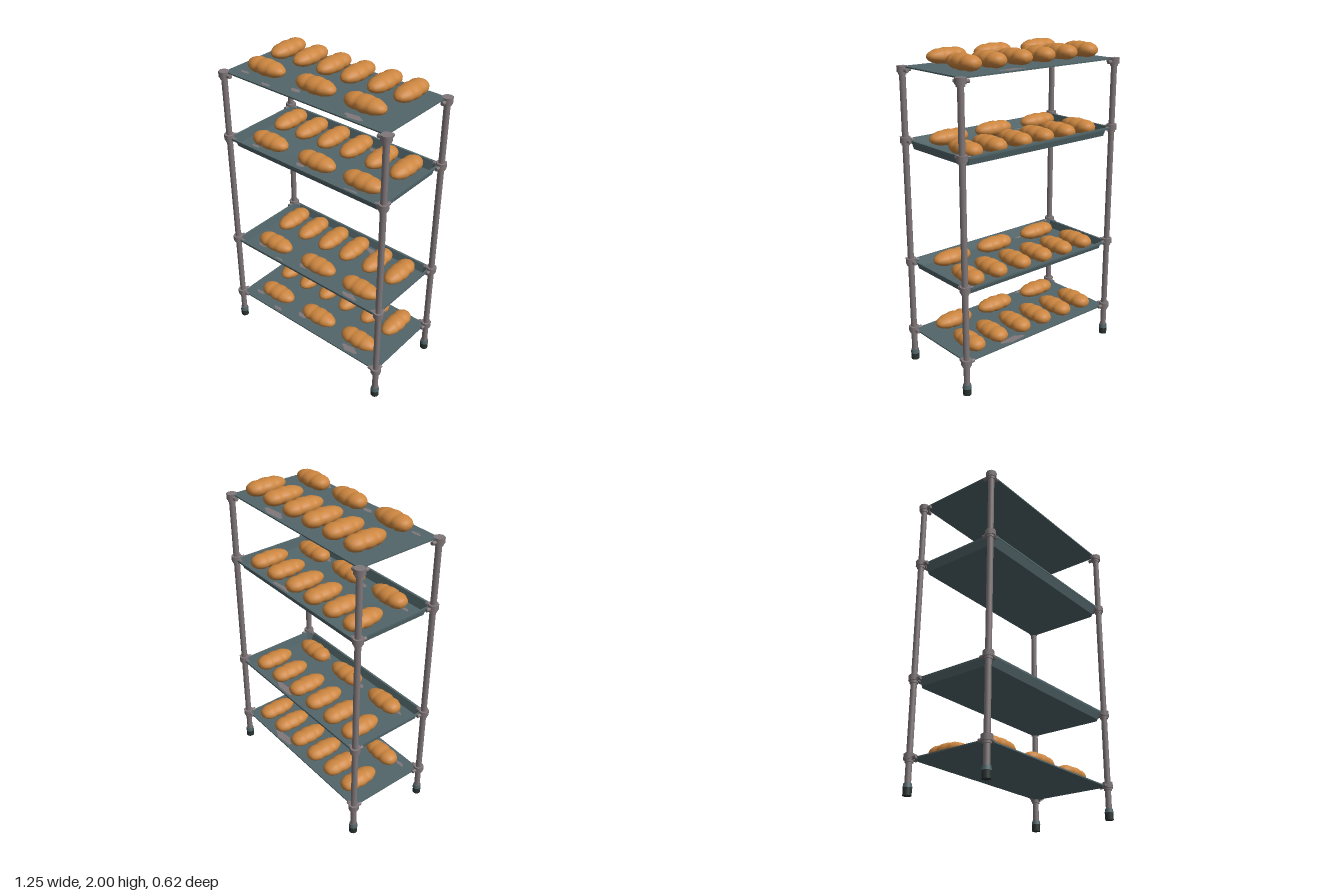
import * as THREE from 'three';

const mat = (name, color, side = THREE.FrontSide, flatShading = false) => {
  const m = new THREE.MeshStandardMaterial({ color, side, flatShading });
  m.name = name;
  return m;
};

export function createModel() {
  const paint = mat('slate paint', 0x52666a, THREE.DoubleSide);
  const steel = mat('bare steel', 0x807779);
  const rubber = mat('dark rubber', 0x2a3432);
  const crust = mat('bread crust', 0xcc8640);
  const wear = mat('worn steel', 0x807779, THREE.DoubleSide);

  const root = new THREE.Group();
  root.name = 'breadRack';
  const add = (parent, name, geo, material, x = 0, y = 0, z = 0) => {
    const m = new THREE.Mesh(geo, material);
    m.name = name;
    m.position.set(x, y, z);
    parent.add(m);
    return m;
  };

  const PX = 0.594, PZ = 0.279;
  const joints = [0.217, 0.69, 1.465, 1.883];

  // Corner posts with collars, short rail stubs and feet
  const postGeo = new THREE.CylinderGeometry(0.019, 0.019, 1.83, 12);
  const collarGeo = new THREE.CylinderGeometry(0.033, 0.033, 0.036, 8);
  const ringGeo = new THREE.CylinderGeometry(0.025, 0.025, 0.05, 12);
  const stubX = new THREE.CylinderGeometry(0.012, 0.012, 0.05, 8).rotateZ(Math.PI / 2);
  const stubZ = new THREE.CylinderGeometry(0.012, 0.012, 0.05, 8).rotateX(Math.PI / 2);
  const footGeo = new THREE.CylinderGeometry(0.026, 0.026, 0.045, 12);
  const cupGeo = new THREE.CylinderGeometry(0.024, 0.028, 0.025, 12);
  for (const sx of [-1, 1]) for (const sz of [-1, 1]) {
    const post = new THREE.Group();
    post.name = (sz > 0 ? 'front' : 'back') + (sx > 0 ? 'Left' : 'Right') + 'Post';
    post.position.set(sx * PX, 0, sz * PZ);
    root.add(post);
    add(post, 'tube', postGeo, steel, 0, 0.975);
    add(post, 'foot', footGeo, rubber, 0, 0.0225);
    add(post, 'footCup', cupGeo, paint, 0, 0.056);
    for (const y of joints) {
      add(post, 'collar', collarGeo, steel, 0, y);
      add(post, 'collarRing', ringGeo, steel, 0, y - 0.007);
      add(post, 'sideStub', stubX, steel, -sx * 0.03, y - 0.006, 0);
      add(post, 'depthStub', stubZ, steel, 0, y - 0.006, -sz * 0.03);
    }
  }

  // Octagonal outline of a shelf: half width a, half depth b, corner cut c
  const outline = (a, b, c) => [
    [a, b - c], [a - c, b], [-a + c, b], [-a, b - c],
    [-a, -b + c], [-a + c, -b], [a - c, -b], [a, -b + c],
  ];

  // Surface through a list of outlines; rings are [a, b, c, y]
  const loft = (rings) => {
    const pos = [], idx = [];
    for (const [a, b, c, y] of rings) for (const [x, z] of outline(a, b, c)) pos.push(x, y, z);
    for (let r = 0; r < rings.length - 1; r++) for (let i = 0; i < 8; i++) {
      const j = (i + 1) % 8, p = r * 8, q = p + 8;
      idx.push(p + i, p + j, q + i, p + j, q + j, q + i);
    }
    const g = new THREE.BufferGeometry();
    g.setAttribute('position', new THREE.Float32BufferAttribute(pos, 3));
    g.setIndex(idx);
    g.computeVertexNormals();
    return g;
  };

  // Worn patches: centre x, z and half sizes
  const patches = [
    [0.2, -0.243, 0.1, 0.032], [0.345, 0.24, 0.07, 0.028], [-0.1, 0.2, 0.04, 0.022],
    [-0.49, 0.208, 0.04, 0.015], [-0.28, 0.253, 0.04, 0.015],
  ];
  const blob = [1, 0.75, 0.95, 0.7, 1, 0.85, 0.65, 0.95, 0.8, 1];
  const patchGeo = new THREE.ShapeGeometry(new THREE.Shape(blob.map((r, i) => {
    const t = i / blob.length * Math.PI * 2;
    return new THREE.Vector2(r * Math.cos(t), r * Math.sin(t));
  }))).rotateX(-Math.PI / 2);

  // Loaf: lumpy turned profile, slightly flattened, lying along z
  const profile = new THREE.CatmullRomCurve3([
    [0, 0], [0.032, 0.03], [0.053, 0.13], [0.062, 0.25], [0.058, 0.35], [0.064, 0.43],
    [0.065, 0.54], [0.059, 0.64], [0.06, 0.72], [0.047, 0.85], [0.027, 0.96], [0, 1],
  ].map(([r, t]) => new THREE.Vector3(r, (t - 0.5) * 0.265, 0)));
  const loafPts = profile.getPoints(26).map(p => new THREE.Vector2(Math.max(p.x, 0), p.y));
  const loafGeo = new THREE.LatheGeometry(loafPts, 18).rotateX(Math.PI / 2).scale(1, 0.73, 1);
  const loafAcross = loafGeo.clone().rotateY(Math.PI / 2);

  const flatGeo = new THREE.BoxGeometry(1.18, 0.008, 0.555);
  const shelves = [
    { name: 'bottomShelf', y: 0.21, loafY: 0.254 },
    { name: 'lowerTray', y: 0.692, depth: 0.05, sag: 0, loafY: 0.692 },
    { name: 'upperTray', y: 1.467, depth: 0.056, sag: 0.022, loafY: 1.468 },
    { name: 'topShelf', y: 1.895, loafY: 1.952 },
  ];
  for (const s of shelves) {
    const g = new THREE.Group();
    g.name = s.name;
    root.add(g);
    let floorY = s.y + 0.004, fit = 1;
    if (s.depth) {
      floorY = s.y - s.depth;
      fit = 0.93;
      // Folded lip and sloping walls, then the sagging floor
      add(g, 'trayWall', loft([
        [0.588, 0.294, 0.03, s.y - 0.012], [0.588, 0.294, 0.03, s.y], [0.574, 0.28, 0.03, s.y],
        [0.564, 0.262, 0.025, floorY],
      ]).toNonIndexed(), paint).geometry.computeVertexNormals();
      add(g, 'trayFloor', loft([0, 0.25, 0.5, 0.75, 0.999].map(t =>
        [0.564 * (1 - t), 0.262 * (1 - t), 0.025 * (1 - t), floorY - s.sag * Math.sin(t * Math.PI / 2)])), paint);
    } else {
      add(g, 'shelfPlate', flatGeo, paint, 0, s.y, 0);
    }
    for (const [x, z, w, d] of patches) {
      add(g, 'wornPatch', patchGeo, wear, x * fit, floorY + 0.002, z * fit).scale.set(w * fit, 1, d * fit);
    }
    // Six loaves pointing forward at the back, three lying across at the front
    for (const x of [-0.45, -0.272, -0.092, 0.086, 0.277, 0.455]) add(g, 'backLoaf', loafGeo, crust, x, s.loafY, -0.119);
    for (const x of [-0.352, 0.022, 0.366]) add(g, 'frontLoaf', loafAcross, crust, x, s.loafY, 0.16);
  }
  return root;
}
